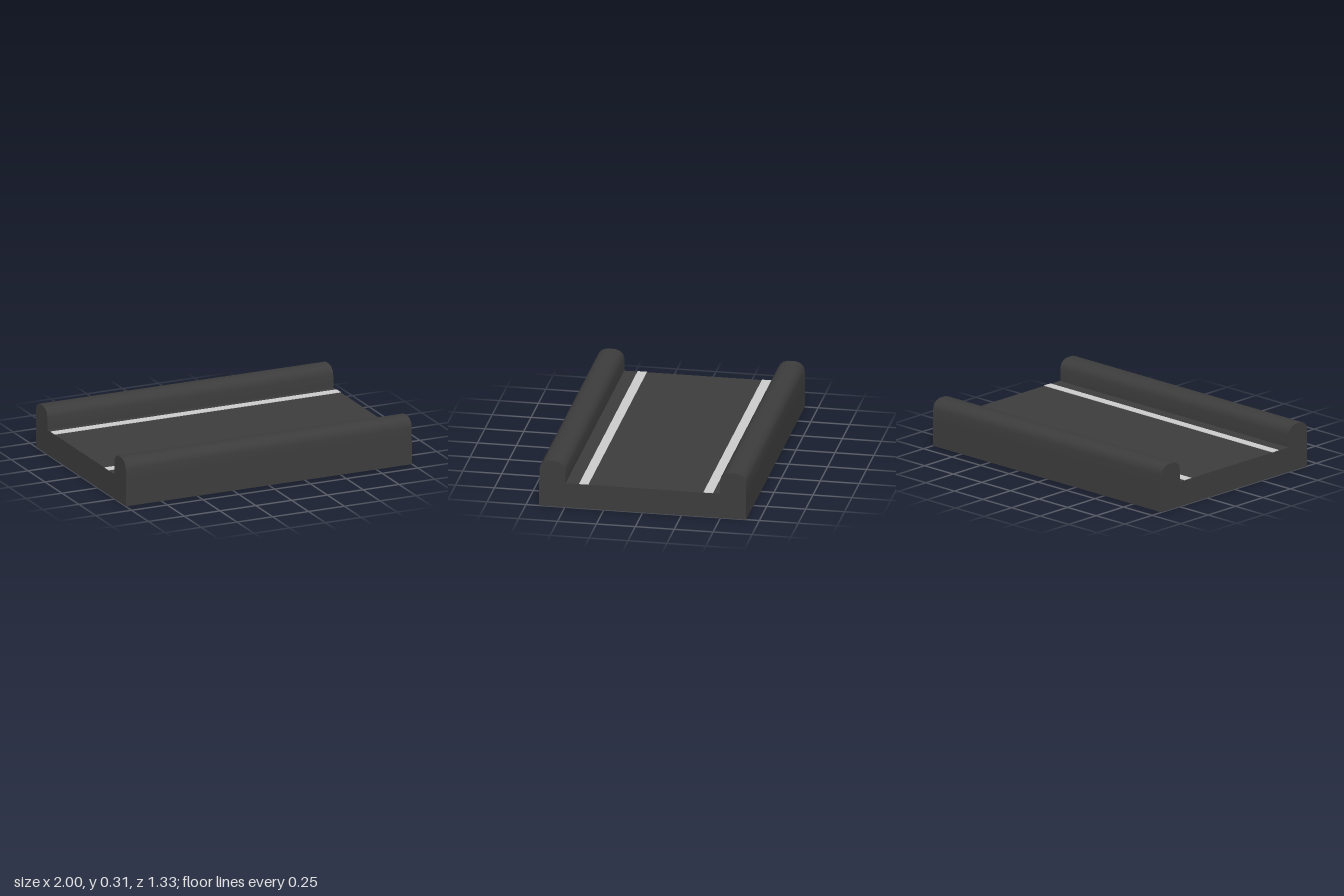
import * as THREE from 'three';
import { toCreasedNormals } from 'three/addons/utils/BufferGeometryUtils.js';

export function createModel() {
  const model = new THREE.Group();
  model.name = 'roadSection';
  const asphalt = new THREE.MeshStandardMaterial({ name: 'darkGrey', color: 0x3c3c3c });
  const paint = new THREE.MeshStandardMaterial({ name: 'lightGrey', color: 0xcacaca });

  const deckTop = 0.163;

  function addBox(name, material, width, height, depth, x, y, z) {
    const mesh = new THREE.Mesh(new THREE.BoxGeometry(width, height, depth), material);
    mesh.name = name;
    mesh.position.set(x, y, z);
    model.add(mesh);
  }

  // Road slab
  addBox('deck', asphalt, 1.998, deckTop, 1.33, 0.001, deckTop / 2, 0);

  // Painted edge lines
  addBox('backLine', paint, 1.998, 0.004, 0.062, 0.001, deckTop + 0.001, -0.421);
  addBox('frontLine', paint, 1.998, 0.004, 0.06, 0.001, deckTop + 0.001, 0.379);

  // Rounded kerb profile, mirrored about its centre line
  const half = [[0.085, deckTop], [0.085, 0.245], [0.077, 0.275], [0.054, 0.296], [0.025, 0.305]];
  const mirrored = half.map(([u, y]) => [-u, y]).reverse();
  const profile = new THREE.Shape([...half, ...mirrored].map(([u, y]) => new THREE.Vector2(u, y)));
  const extruded = new THREE.ExtrudeGeometry(profile, { depth: 1.997, bevelEnabled: false });
  extruded.rotateY(Math.PI / 2);
  extruded.translate(-1, 0, 0);
  const kerbGeometry = toCreasedNormals(extruded, 0.7);

  // Kerbs along both long edges
  for (const [name, z] of [['frontKerb', 0.58], ['backKerb', -0.58]]) {
    const kerb = new THREE.Mesh(kerbGeometry, asphalt);
    kerb.name = name;
    kerb.position.z = z;
    model.add(kerb);
  }

  return model;
}
